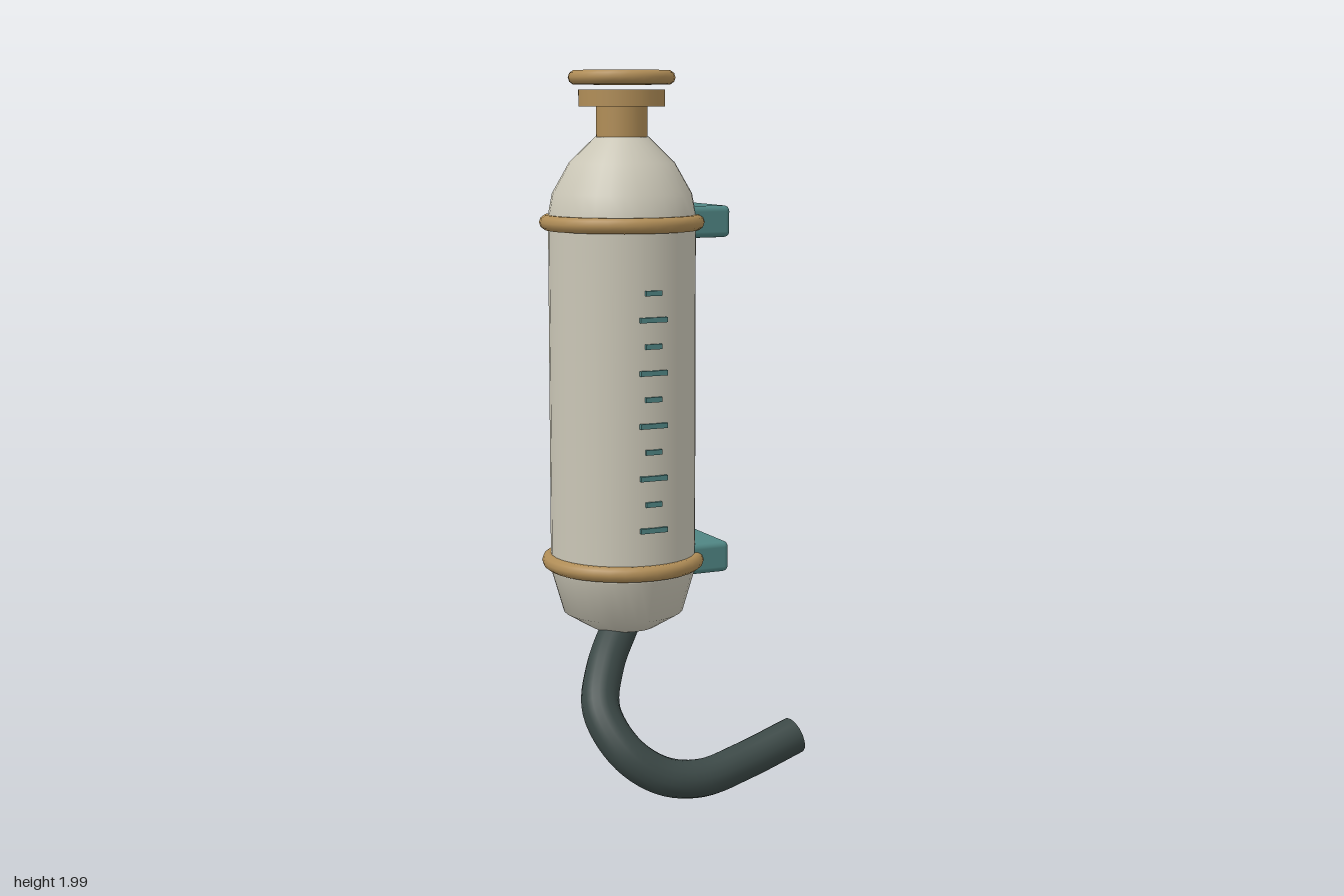
import * as THREE from 'three';
import { RoundedBoxGeometry } from 'three/addons/geometries/RoundedBoxGeometry.js';

const material = (color) => new THREE.MeshStandardMaterial({ color });
const shell = material(0xcac6b6);
const brass = material(0xb08d57);
const teal = material(0x4f8583);
const rubber = material(0x3b4846);

function add(parent, name, geometry, mat, x = 0, y = 0, z = 0) {
  const mesh = new THREE.Mesh(geometry, mat);
  mesh.name = name;
  mesh.position.set(x, y, z);
  parent.add(mesh);
  return mesh;
}

export function createModel() {
  const model = new THREE.Group();
  model.name = 'gasCylinder';

  // Everything except the hose is centred on the tank axis
  const tank = new THREE.Group();
  tank.name = 'tank';
  tank.position.set(-0.095, 0, -0.067);
  model.add(tank);

  // Tank body: doubled points keep the straight wall and the base crisp
  const profile = [
    [0, 0.44], [0.095, 0.44], [0.095, 0.44], [0.17, 0.485], [0.205, 0.605],
    [0.205, 0.607], [0.205, 1.605], [0.205, 1.607], [0.194, 1.665],
    [0.146, 1.75], [0.074, 1.82], [0.074, 1.82], [0, 1.82],
  ].map(([r, y]) => new THREE.Vector2(r, y));
  add(tank, 'body', new THREE.LatheGeometry(profile, 32), shell);

  // Neck and cap
  add(tank, 'neck', new THREE.CylinderGeometry(0.071, 0.071, 0.11, 24), brass, 0, 1.86);
  add(tank, 'cap', new THREE.CylinderGeometry(0.12, 0.12, 0.045, 24), brass, 0, 1.925);

  // Handwheel with three spokes
  const wheel = new THREE.Group();
  wheel.name = 'handwheel';
  wheel.position.y = 1.981;
  tank.add(wheel);
  add(wheel, 'wheelRim', new THREE.TorusGeometry(0.128, 0.02, 10, 28).rotateX(Math.PI / 2), brass);
  for (let i = 0; i < 3; i++) {
    const spoke = new THREE.CylinderGeometry(0.01, 0.01, 0.12, 8)
      .rotateZ(Math.PI / 2).translate(0.06, 0, 0);
    add(wheel, 'spoke', spoke, brass).rotation.y = i * Math.PI * 2 / 3;
  }

  // Straps, each with a bracket block on the left side
  for (const y of [0.632, 1.586]) {
    add(tank, 'strap', new THREE.TorusGeometry(0.208, 0.022, 10, 32).rotateX(Math.PI / 2), brass, 0, y);
    add(tank, 'bracket', new RoundedBoxGeometry(0.13, 0.088, 0.215, 3, 0.016), teal, 0.22, y, 0);
  }

  // Level marks, alternately long and short
  for (let i = 0; i < 10; i++) {
    const width = i % 2 ? 0.048 : 0.08;
    add(tank, 'levelMark', new THREE.BoxGeometry(width, 0.014, 0.016), teal, 0, 0.752 + i * 0.0725, 0.204);
  }

  // Hose curling out from under the tank
  const path = new THREE.CatmullRomCurve3([
    [-0.095, 0.46, -0.065], [-0.195, 0.35, 0.03], [-0.241, 0.25, 0.108],
    [-0.2, 0.145, 0.188], [-0.11, 0.08, 0.228], [0, 0.062, 0.242],
    [0.14, 0.087, 0.228], [0.31, 0.135, 0.212],
  ].map((p) => new THREE.Vector3(...p)));
  const radius = 0.053;
  add(model, 'hose', new THREE.TubeGeometry(path, 48, radius, 16), rubber);

  // Flat discs close the hose ends
  for (const t of [0, 1]) {
    const p = path.getPointAt(t);
    const out = path.getTangentAt(t).multiplyScalar(t ? 1 : -1);
    const end = add(model, 'hoseEnd', new THREE.CircleGeometry(radius, 16), rubber, p.x, p.y, p.z);
    end.lookAt(p.clone().add(out));
  }
  return model;
}
